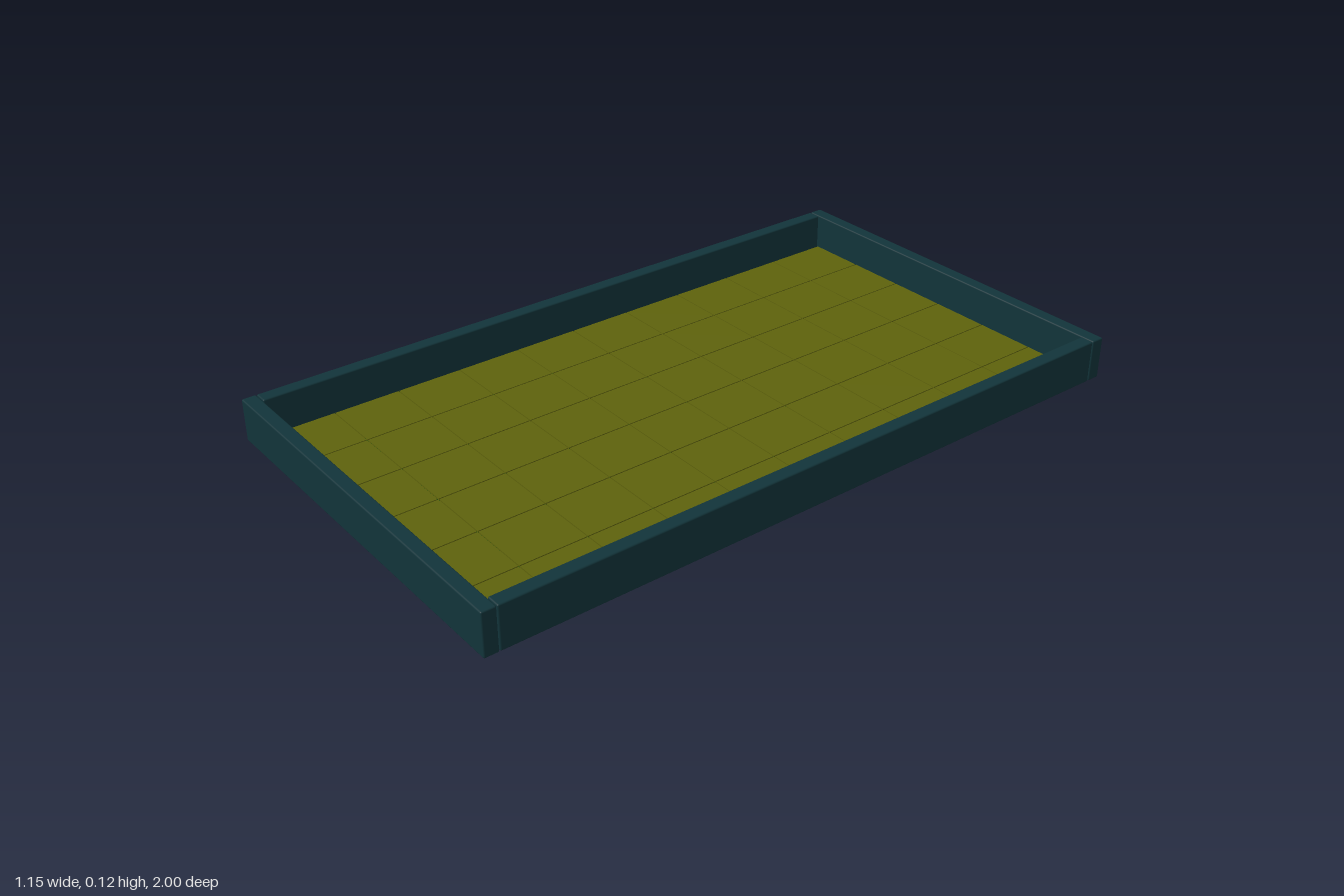
import * as THREE from 'three';
import { RoundedBoxGeometry } from 'three/addons/geometries/RoundedBoxGeometry.js';

const W = 1.146, L = 2, H = 0.122; // overall size
const T = 0.04;                    // rail thickness
const GAP = 0.002;                 // joint between rails

export function createModel() {
  const group = new THREE.Group();
  const railMat = new THREE.MeshStandardMaterial({ color: 0x12343a });
  const cellMat = new THREE.MeshStandardMaterial({ color: 0x5e620c });
  const boardMat = new THREE.MeshStandardMaterial({ color: 0x084a08 });

  const add = (name, geometry, material, x, y, z, parent = group) => {
    const mesh = new THREE.Mesh(geometry, material);
    mesh.name = name;
    mesh.position.set(x, y, z);
    parent.add(mesh);
    return mesh;
  };

  // Frame: full-width end rails, side rails fitted between them
  const endRail = new RoundedBoxGeometry(W, H, T, 2, 0.004);
  const sideRail = new RoundedBoxGeometry(T, H, L - 2 * T - 2 * GAP, 2, 0.004);
  for (const s of [1, -1]) {
    add(s > 0 ? 'frontRail' : 'backRail', endRail, railMat, 0, H / 2, s * (L - T) / 2);
    add(s > 0 ? 'leftRail' : 'rightRail', sideRail, railMat, s * (W - T) / 2, H / 2, 0);
  }

  // Backing board held just above the bottom of the frame
  const innerW = W - 2 * T, innerL = L - 2 * T;
  add('backingBoard', new THREE.BoxGeometry(innerW, 0.01, innerL), boardMat, 0, 0.008, 0);

  // Grid of thin tiles with hairline gaps
  const cells = new THREE.Group();
  cells.name = 'tileGrid';
  group.add(cells);
  const cols = 6, rows = 10, seam = 0.003;
  const cw = innerW / cols, cl = innerL / rows;
  const tile = new THREE.BoxGeometry(cw - seam, 0.004, cl - seam);
  for (let i = 0; i < cols; i++) {
    for (let j = 0; j < rows; j++) {
      add('tile', tile, cellMat, (i + 0.5) * cw - innerW / 2, 0.015, (j + 0.5) * cl - innerL / 2, cells);
    }
  }
  return group;
}
